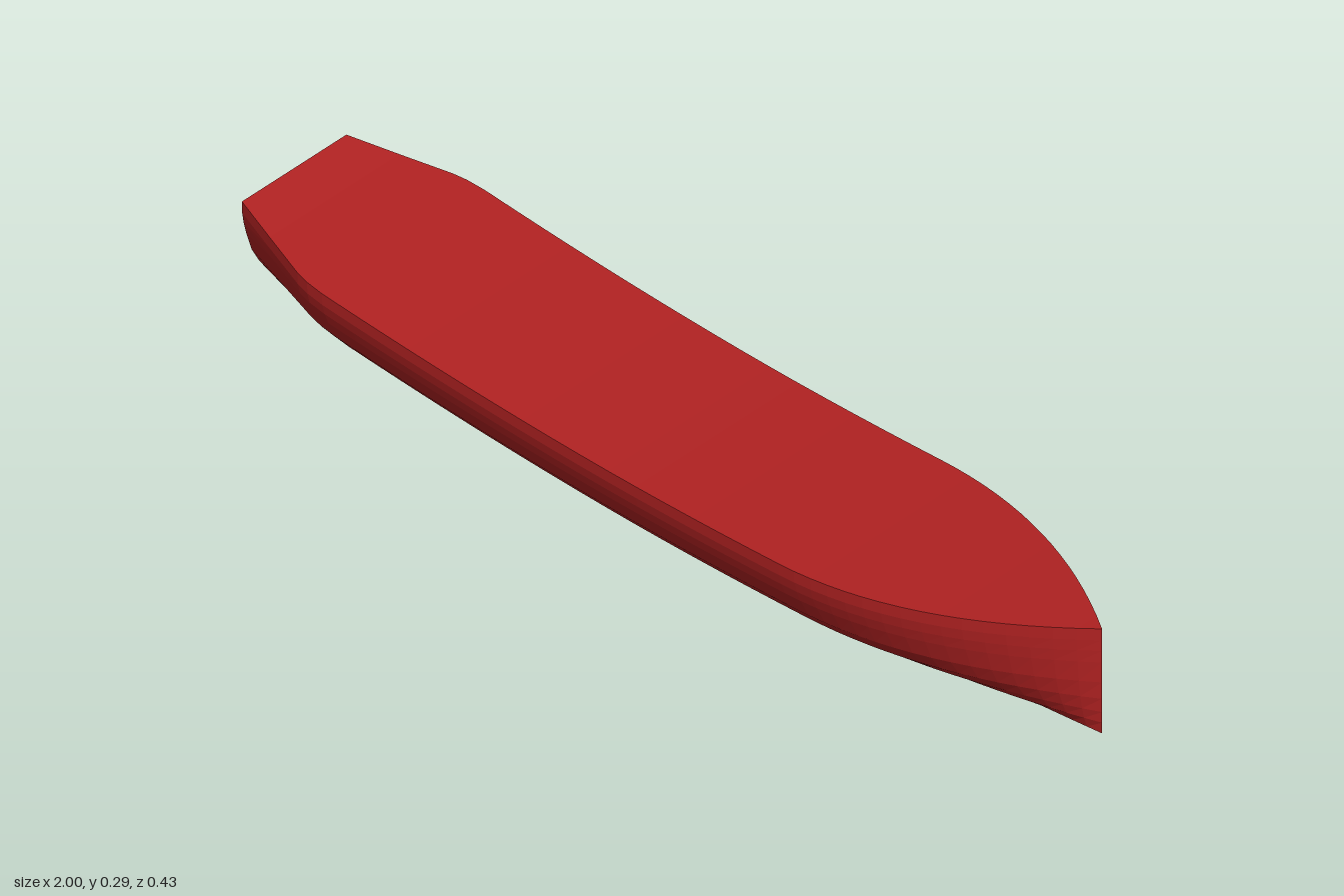
import * as THREE from 'three';

const DEPTH = 0.236;
// Half cross-section amidships, keel to deck edge: [half width, height]
const SECTION = [[0, 0], [0.063, 0.024], [0.103, 0.048], [0.143, 0.078], [0.174, 0.115],
  [0.196, 0.16], [0.206, 0.186], [0.212, 0.21], [0.213, DEPTH]];
const BAND = 6; // section point where the bulwark band starts

// Stations from the stern (-x) to the bow (+x)
const STATIONS = [-1, -0.9, -0.8, -0.77, -0.73];
for (let i = 1; i <= 16; i++) STATIONS.push(-0.73 + (1.13 * i) / 16);
for (let i = 1; i <= 16; i++) STATIONS.push(0.4 + (0.6 * i) / 16);

// Relative beam: tapered stern, straight middle, rounded taper to a sharp bow
function beam(x) {
  if (x > 0.4) return Math.max(0, 1 - ((x - 0.4) / 0.6) ** 2);
  if (x < -0.8) return THREE.MathUtils.mapLinear(x, -1, -0.8, 0.643, 0.955);
  if (x < -0.73) return 1 - 0.045 * ((-0.73 - x) / 0.07) ** 2;
  return 1;
}

// Upward sweep of keel and deck towards both ends
const sheer = (x) => 0.058 * Math.abs(x) ** 1.88;

const place = (x, [z, y]) => new THREE.Vector3(x, y + sheer(x), z * beam(x));
const port = (points) => points.map(([z, y]) => [-z, y]);

function meshFrom(triangles, name, material) {
  const geometry = new THREE.BufferGeometry().setFromPoints(triangles);
  geometry.computeVertexNormals();
  const mesh = new THREE.Mesh(geometry, material);
  mesh.name = name;
  return mesh;
}

// Skin a strip of section points along all stations
function loft(points, name, material) {
  const triangles = [];
  for (let i = 0; i < STATIONS.length - 1; i++) {
    for (let j = 0; j < points.length - 1; j++) {
      const a = place(STATIONS[i], points[j]);
      const b = place(STATIONS[i + 1], points[j]);
      const c = place(STATIONS[i + 1], points[j + 1]);
      const d = place(STATIONS[i], points[j + 1]);
      triangles.push(a, b, c, a, c, d);
    }
  }
  return meshFrom(triangles, name, material);
}

export function createModel() {
  const group = new THREE.Group();
  group.name = 'boatHull';
  const red = new THREE.MeshStandardMaterial({ color: 0xb22222, flatShading: true });

  // Rounded lower hull, both sides in one strip
  const lower = SECTION.slice(0, BAND + 1);
  group.add(loft([...port(lower).reverse(), ...lower.slice(1)], 'lowerHull', red));

  // Bulwark bands along the deck edge
  const band = SECTION.slice(BAND);
  group.add(loft(band, 'bulwarkFront', red));
  group.add(loft(port(band).reverse(), 'bulwarkBack', red));

  // Deck
  const edge = SECTION[SECTION.length - 1];
  group.add(loft([edge, [0, DEPTH], [-edge[0], DEPTH]], 'deck', red));

  // Flat transom closing the stern
  const ring = [...port(SECTION).reverse(), ...SECTION.slice(1)].map((p) => place(-1, p));
  const fan = [];
  for (let j = 1; j < ring.length - 1; j++) fan.push(ring[0], ring[j], ring[j + 1]);
  group.add(meshFrom(fan, 'transom', red));

  return group;
}
